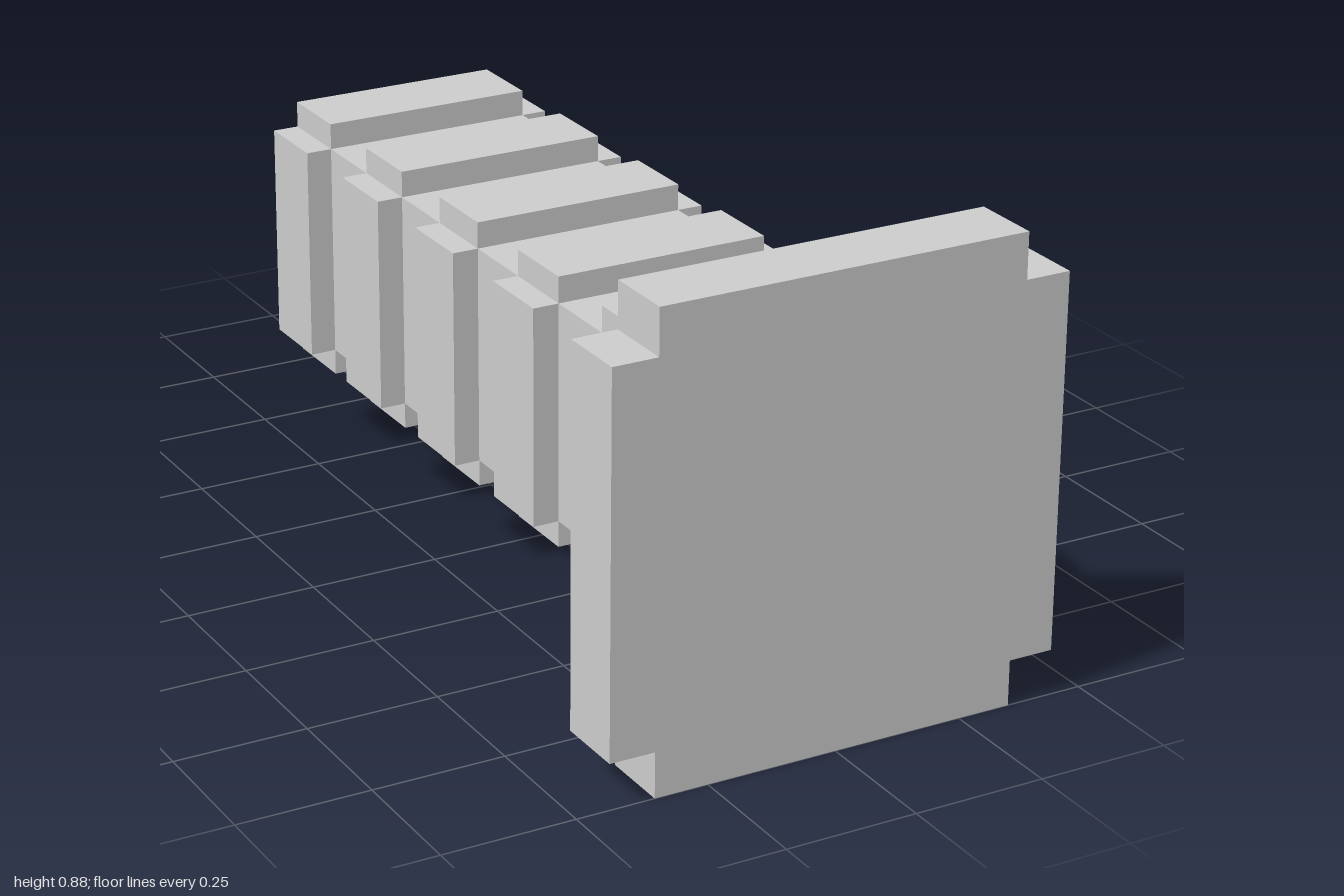
import * as THREE from 'three';

const CY = 0.438; // height of the central axis

// Square of half-width s whose four sides are pushed out by e (12 points, anticlockwise from the front)
function section([z, s, e]) {
  const points = [];
  for (let k = 0; k < 4; k++) {
    const c = [1, 0, -1, 0][k], d = [0, 1, 0, -1][k];
    for (const [x, y] of [[s, -s], [s + e, -s], [s + e, s]]) {
      points.push(new THREE.Vector3(c * x - d * y, d * x + c * y, z));
    }
  }
  return points;
}

// Skin through [z, s, e] sections running from front to back, skipping empty triangles
function loft(name, sections, material) {
  const rings = sections.map(section);
  const positions = [];
  const tri = (a, b, c) => {
    if (new THREE.Triangle(a, b, c).getArea() < 1e-7) return;
    for (const p of [a, b, c]) positions.push(p.x, p.y + CY, p.z);
  };
  for (let i = 0; i < rings.length - 1; i++) {
    for (let j = 0; j < 12; j++) {
      const k = (j + 1) % 12;
      const a = rings[i][j], b = rings[i][k], c = rings[i + 1][j], d = rings[i + 1][k];
      tri(a, c, b);
      tri(b, c, d);
    }
  }
  const geometry = new THREE.BufferGeometry();
  geometry.setAttribute('position', new THREE.Float32BufferAttribute(positions, 3));
  geometry.computeVertexNormals();
  const mesh = new THREE.Mesh(geometry, material);
  mesh.name = name;
  return mesh;
}

export function createModel() {
  const group = new THREE.Group();
  group.name = 'bolt';
  const material = new THREE.MeshStandardMaterial({ color: 0xcccccc, flatShading: true });

  const head = 0.352, headRim = 0.086; // head plate half-width and rim
  const shaft = 0.207, rib = 0.05; // shaft half-width and rib height
  const headBack = 0.866, neckBack = 0.704, tipStart = -0.653;
  const ribWidth = 0.149, pitch = 0.302;

  // Flat head with notched corners
  group.add(loft('head', [
    [1, 0, 0], [1, head, 0], [1, head, headRim],
    [headBack, head, headRim], [headBack, head, 0],
  ], material));

  // Tapering neck
  group.add(loft('neck', [[headBack, head, 0], [neckBack, shaft, 0]], material));

  // Square shaft with five raised ribs
  const profile = [];
  for (let i = 0; i < 5; i++) {
    const front = neckBack - i * pitch;
    const back = i === 4 ? tipStart : front - ribWidth;
    profile.push([front, shaft, 0], [front, shaft, rib], [back, shaft, rib], [back, shaft, 0]);
  }
  group.add(loft('ribbedShaft', profile, material));

  // Pyramid tip
  group.add(loft('tip', [[tipStart, shaft, 0], [-1, 0, 0]], material));

  return group;
}
